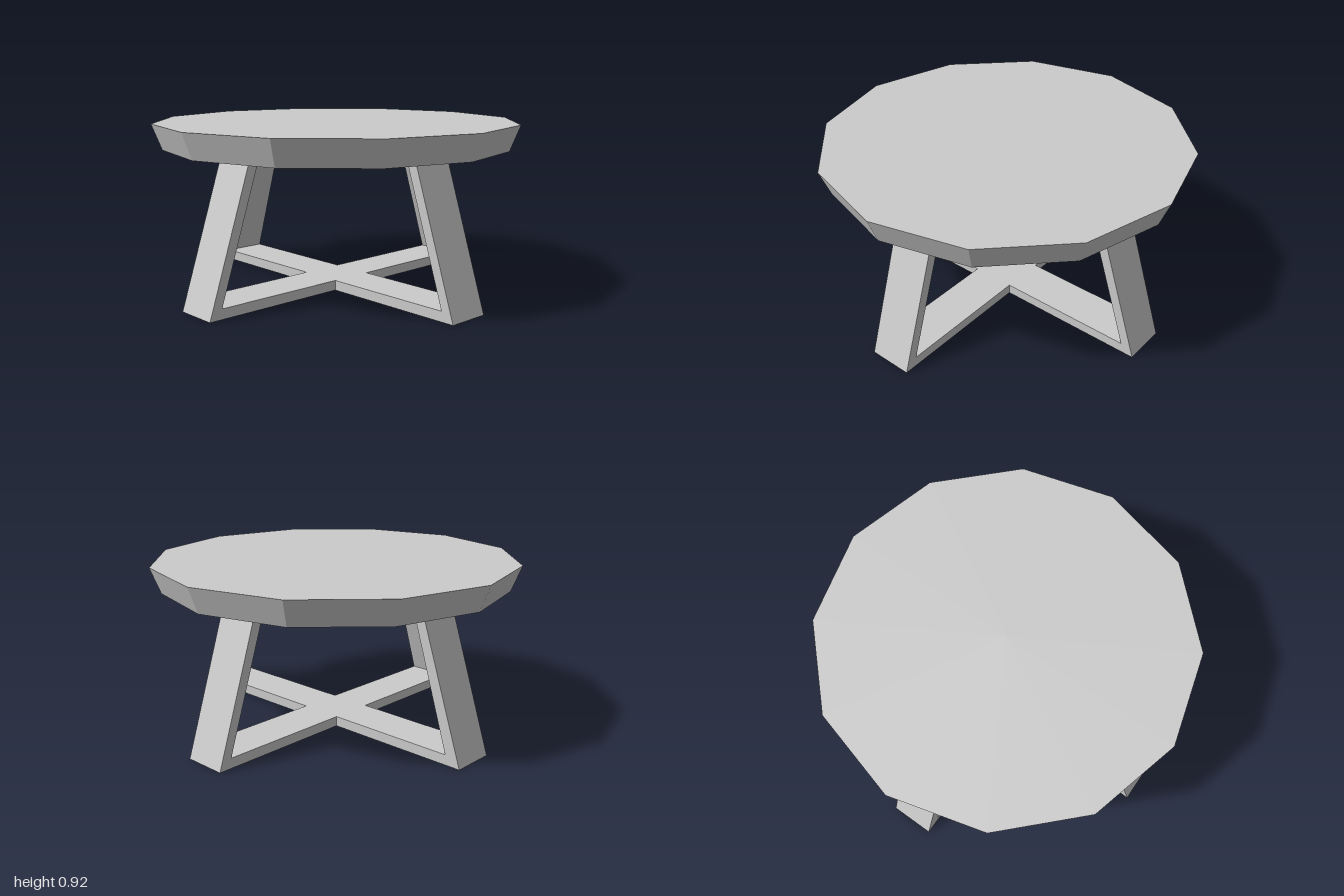
import * as THREE from 'three';

const TOP_Y = 0.92, UNDERSIDE_Y = 0.78, BEAM_WIDTH = 0.24;
const material = new THREE.MeshStandardMaterial({ color: 0xcccccc, flatShading: true });

// U-shaped trestle: a floor beam with a leg leaning inward at each end
function createTrestle(name, innerNeg, innerPos) {
  const shape = new THREE.Shape([
    [-0.95, 0], [0.95, 0], [0.69, UNDERSIDE_Y], [0.633, UNDERSIDE_Y],
    [innerPos, 0.055], [-innerNeg, 0.055], [-0.633, UNDERSIDE_Y], [-0.69, UNDERSIDE_Y],
  ].map(([x, y]) => new THREE.Vector2(x, y)));
  const geometry = new THREE.ExtrudeGeometry(shape, { depth: BEAM_WIDTH, bevelEnabled: false });
  geometry.translate(0, 0, -BEAM_WIDTH / 2);
  const mesh = new THREE.Mesh(geometry, material);
  mesh.name = name;
  return mesh;
}

export function createModel() {
  const table = new THREE.Group();
  table.name = 'roundTable';

  // Twelve-sided top, tapering towards its underside
  const height = TOP_Y - UNDERSIDE_Y;
  const top = new THREE.Mesh(new THREE.CylinderGeometry(1, 0.945, height, 12), material);
  top.name = 'tabletop';
  top.position.y = UNDERSIDE_Y + height / 2;
  table.add(top);

  // Two crossing trestles form the base
  const sideTrestle = createTrestle('sideTrestle', 0.876, 0.876);
  const frontTrestle = createTrestle('frontTrestle', 0.862, 0.876);
  frontTrestle.rotation.y = -Math.PI / 2;
  table.add(sideTrestle, frontTrestle);

  return table;
}
